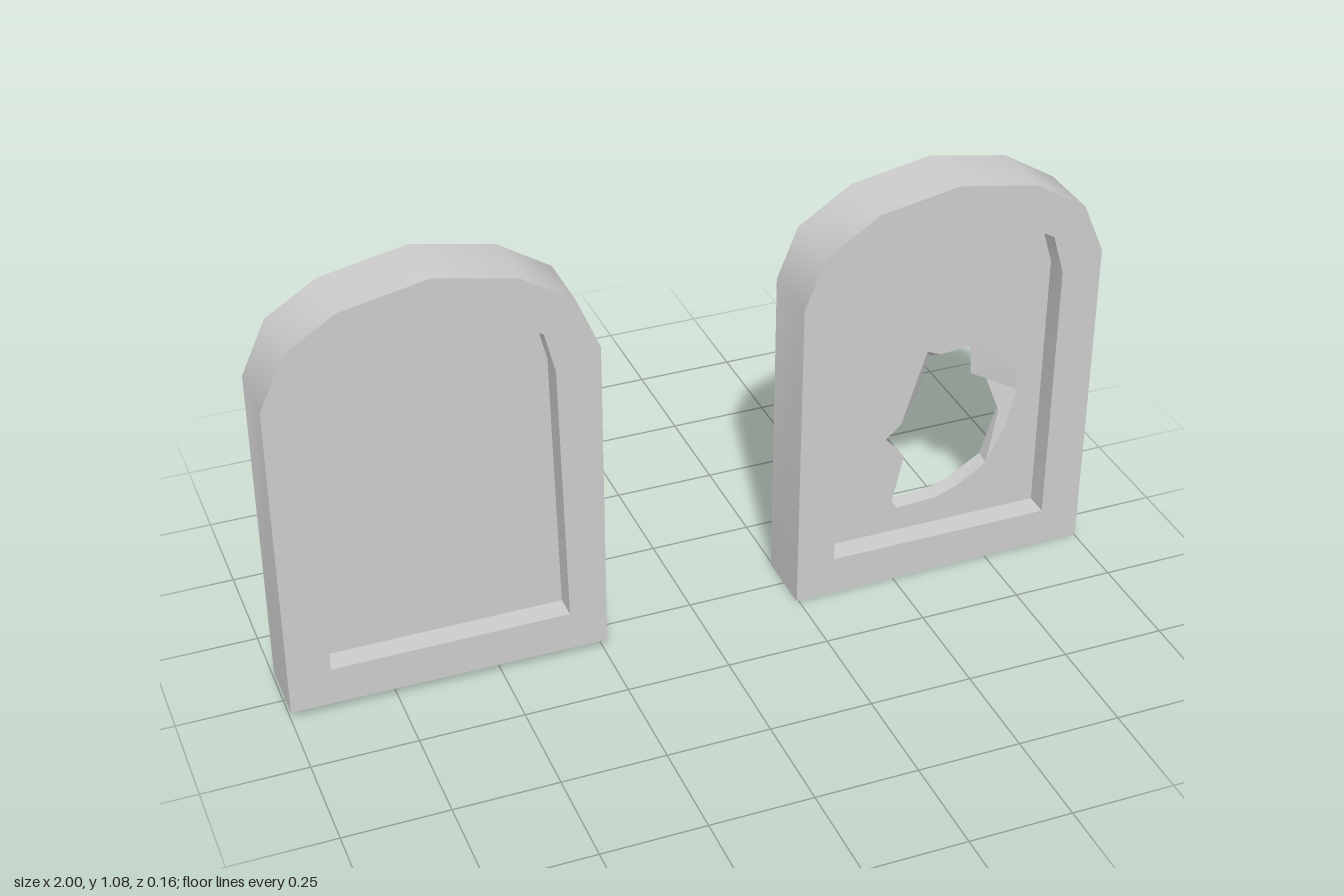
import * as THREE from 'three';
import { toCreasedNormals } from 'three/addons/utils/BufferGeometryUtils.js';

const DEPTH = 0.16;                 // frame thickness
const PANE_FRONT = 0.022, PANE_BACK = -0.022;

const material = new THREE.MeshStandardMaterial({ color: 0xcccccc });
const points = (list) => list.map(([x, y]) => new THREE.Vector2(x, y));

function part(name, geometry) {
  const mesh = new THREE.Mesh(geometry, material);
  mesh.name = name;
  return mesh;
}

// Arched border, open in the middle
function frameGeometry(outer, inner) {
  const shape = new THREE.Shape(points(outer));
  shape.holes.push(new THREE.Path(points(inner)));
  const g = new THREE.ExtrudeGeometry(shape, { depth: DEPTH, bevelEnabled: false });
  g.translate(0, 0, -DEPTH / 2);
  return toCreasedNormals(g, 0.65);
}

// One flat face of a pane, turned to the front or the back
function paneFace(outline, z, hole) {
  const shape = new THREE.Shape(points(outline));
  if (hole) shape.holes.push(new THREE.Path(points(hole)));
  const g = new THREE.ShapeGeometry(shape);
  if (z < 0) {
    const index = g.index.array;
    for (let i = 0; i < index.length; i += 3) {
      [index[i], index[i + 1]] = [index[i + 1], index[i]];
    }
    g.computeVertexNormals();
  }
  return g.translate(0, 0, z);
}

// Faceted walls joining the clockwise front and back edges of the break
function breakWalls(front, back) {
  const pos = [];
  front.forEach((a, i) => {
    const j = (i + 1) % front.length;
    const f0 = [...a, PANE_FRONT], f1 = [...front[j], PANE_FRONT];
    const b0 = [...back[i], PANE_BACK], b1 = [...back[j], PANE_BACK];
    pos.push(...f0, ...f1, ...b0, ...f1, ...b1, ...b0);
  });
  const g = new THREE.BufferGeometry();
  g.setAttribute('position', new THREE.Float32BufferAttribute(pos, 3));
  g.computeVertexNormals();
  return g;
}

function archedPanel(name, outer, inner, hole) {
  const group = new THREE.Group();
  group.name = name;
  group.add(part('frame', frameGeometry(outer, inner)));
  group.add(part('paneFront', paneFace(inner, PANE_FRONT, hole?.front)));
  group.add(part('paneBack', paneFace(inner, PANE_BACK, hole?.back)));
  if (hole) {
    const walls = part('breakWalls', breakWalls(hole.front, hole.back));
    walls.material = material.clone();
    walls.material.side = THREE.DoubleSide;
    group.add(walls);
  }
  return group;
}

export function createModel() {
  const model = new THREE.Group();
  model.name = 'archedWindows';

  // Whole window
  model.add(archedPanel('wholeWindow',
    [[-0.24, 0.02], [-0.24, 0.825], [-0.295, 0.955], [-0.42, 1.035], [-0.615, 1.075],
      [-0.82, 1.035], [-0.94, 0.96], [-1, 0.83], [-1, 0.025]],
    [[-0.33, 0.12], [-0.345, 0.785], [-0.37, 0.885], [-0.48, 0.95], [-0.615, 0.972],
      [-0.765, 0.95], [-0.86, 0.895], [-0.9, 0.795], [-0.9, 0.12]]));

  // Window with a jagged break through the pane
  model.add(archedPanel('brokenWindow',
    [[1, 0.005], [1, 0.815], [0.945, 0.94], [0.815, 1.02], [0.62, 1.055],
      [0.425, 1.02], [0.295, 0.935], [0.245, 0.81], [0.245, 0]],
    [[0.9, 0.1], [0.9, 0.775], [0.87, 0.875], [0.765, 0.935], [0.62, 0.952],
      [0.475, 0.935], [0.37, 0.87], [0.34, 0.77], [0.34, 0.1]],
    {
      front: [[0.59, 0.595], [0.625, 0.58], [0.725, 0.588], [0.825, 0.5], [0.838, 0.435],
        [0.81, 0.335], [0.765, 0.24], [0.69, 0.19], [0.63, 0.17], [0.53, 0.165],
        [0.515, 0.185], [0.542, 0.31], [0.485, 0.365], [0.53, 0.405]],
      back: [[0.618, 0.555], [0.63, 0.575], [0.722, 0.585], [0.732, 0.478], [0.77, 0.465],
        [0.825, 0.415], [0.77, 0.24], [0.69, 0.19], [0.63, 0.17], [0.53, 0.165],
        [0.515, 0.185], [0.542, 0.31], [0.485, 0.365], [0.592, 0.455]],
    }));

  return model;
}
